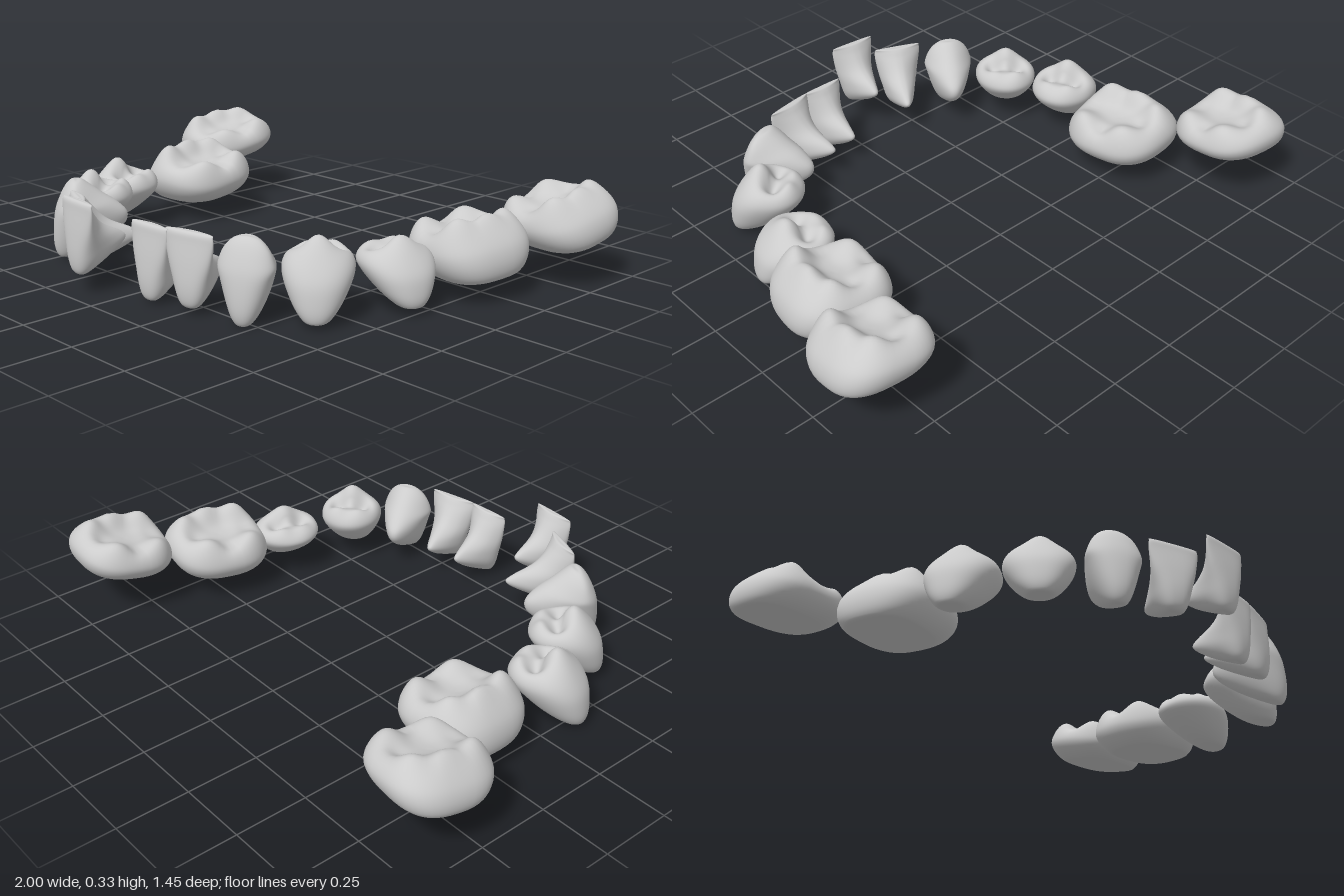
import * as THREE from 'three';
import { mergeVertices } from 'three/addons/utils/BufferGeometryUtils.js';

// Tooth kinds. rows run from the base to the centre of the biting surface:
// [height, half width, inner edge, outer edge], all relative to size [width, height, depth].
// bumps are cusps and pits: [across, outward, amount, radius].
const KINDS = {
  incisor: {
    size: [0.18, 0.25, 0.2], round: 0.78, taper: 0.72, lift: 0.3, peak: 0,
    rows: [[0, 0, 0.5, 0.5], [0, 0.26, 0, 0.75], [0.06, 0.45, -0.6, 0.9], [0.18, 0.61, -1, 0.98],
      [0.36, 0.73, -0.75, 1], [0.6, 0.88, -0.1, 0.95], [0.85, 0.99, 0.32, 0.86],
      [0.96, 0.98, 0.48, 0.82], [1, 0.88, 0.56, 0.74], [1, 0, 0.65, 0.65]],
    bumps: [],
  },
  canine: {
    size: [0.2, 0.27, 0.23], round: 0.9, taper: 0.5, lift: 0.3, peak: 0.2,
    rows: [[0, 0, 0.5, 0.5], [0, 0.24, 0.1, 0.78], [0.06, 0.44, -0.5, 0.92], [0.2, 0.64, -0.95, 1],
      [0.4, 0.83, -1, 1], [0.62, 0.98, -0.7, 0.93], [0.8, 0.98, -0.3, 0.78],
      [0.93, 0.8, 0, 0.62], [1, 0.45, 0.2, 0.46], [1, 0, 0.33, 0.33]],
    bumps: [],
  },
  premolar: {
    size: [0.24, 0.23, 0.24], round: 0.9, taper: 0.12, lift: 0.35, peak: 0, lean: 0.16,
    rows: [[0, 0, 0.5, 0.5], [0, 0.3, 0.15, 0.8], [0.08, 0.5, -0.2, 0.93], [0.25, 0.72, -0.55, 1],
      [0.5, 0.93, -0.88, 1], [0.7, 1, -1, 0.87], [0.86, 0.9, -0.9, 0.66],
      [0.94, 0.68, -0.68, 0.42], [0.92, 0.4, -0.45, 0.12], [0.89, 0.2, -0.3, 0], [0.88, 0, -0.15, -0.15]],
    bumps: [[0, 0.3, 0.2, 0.38], [-0.3, -0.6, 0.06, 0.3], [0.35, -0.58, 0.08, 0.3],
      [0.38, -0.15, -0.13, 0.24], [-0.38, -0.15, -0.13, 0.24]],
  },
  molar: {
    size: [0.36, 0.18, 0.34], round: 0.74, taper: 0.08, lift: 0.3, peak: 0, lean: 0.18,
    rows: [[0.02, 0, 0.15, 0.15], [0, 0.6, -0.55, 0.75], [0.08, 0.8, -0.78, 0.92], [0.3, 0.95, -0.95, 1],
      [0.55, 1, -1, 0.97], [0.78, 0.92, -0.92, 0.82], [0.91, 0.74, -0.75, 0.62],
      [0.88, 0.48, -0.5, 0.4], [0.82, 0.22, -0.24, 0.18], [0.8, 0, -0.03, -0.03]],
    bumps: [[-0.5, 0.48, 0.2, 0.27], [0.08, 0.52, 0.17, 0.24], [0.58, 0.35, 0.14, 0.24],
      [-0.45, -0.58, 0.17, 0.29], [0.42, -0.58, 0.17, 0.29], [0, -0.68, -0.07, 0.16],
      [-0.62, -0.05, -0.06, 0.22], [0.5, -0.08, -0.08, 0.2]],
  },
};

// name, kind, outward yaw in degrees, rise towards the back, then x, y and z ranges
const LEFT = [
  ['CentralIncisor', 'incisor', 2, 0, [0.02, 0.19], [0.01, 0.26], [0.42, 0.62]],
  ['LateralIncisor', 'incisor', 14, 0, [0.175, 0.36], [0.02, 0.265], [0.39, 0.6]],
  ['Canine', 'canine', 26, 0, [0.33, 0.53], [0, 0.27], [0.33, 0.56]],
  ['FirstPremolar', 'premolar', 42, 0, [0.44, 0.68], [0.015, 0.27], [0.18, 0.43]],
  ['SecondPremolar', 'premolar', 74, 0, [0.515, 0.78], [0.025, 0.235], [-0.075, 0.17]],
  ['FirstMolar', 'molar', 78, 0.08, [0.53, 0.89], [0.065, 0.275], [-0.41, -0.04]],
  ['SecondMolar', 'molar', 82, 0.22, [0.65, 1], [0.12, 0.33], [-0.73, -0.385]],
];
const RIGHT = [
  ['CentralIncisor', 'incisor', -6, 0, [-0.215, -0.04], [0.065, 0.31], [0.53, 0.725]],
  ['LateralIncisor', 'incisor', -26, 0, [-0.35, -0.16], [0.04, 0.28], [0.42, 0.64]],
  ['Canine', 'canine', -32, 0, [-0.52, -0.32], [0.015, 0.29], [0.34, 0.57]],
  ['FirstPremolar', 'premolar', -48, 0, [-0.68, -0.44], [0.03, 0.27], [0.18, 0.43]],
  ['SecondPremolar', 'premolar', -68, 0, [-0.815, -0.545], [0.01, 0.26], [-0.02, 0.22]],
  ['FirstMolar', 'molar', -84, 0.08, [-0.805, -0.45], [0.065, 0.275], [-0.42, -0.05]],
  ['SecondMolar', 'molar', -94, 0.18, [-1, -0.655], [0.14, 0.33], [-0.73, -0.385]],
];

const ROWS = 44, SEGS = 48;
const power = (x, e) => Math.sign(x) * Math.abs(x) ** e;

// Closed skin through stacked cross-sections, with cusps raised on its top
function crown(kind, side) {
  const [w, height, d] = kind.size;
  const last = kind.rows.length - 1;
  const spline = new THREE.CubicInterpolant(kind.rows.map((_, i) => i), kind.rows.flat(), 4);
  const points = [], index = [];
  for (let i = 0; i <= ROWS; i++) {
    const [h, half, inner, outer] = spline.evaluate((i / ROWS) * last);
    const onTop = THREE.MathUtils.smoothstep(h, 0.5, 0.88);
    for (let j = 0; j < SEGS; j++) {
      const a = (j / SEGS) * Math.PI * 2;
      const c = power(Math.cos(a), kind.round), s = power(Math.sin(a), kind.round);
      const u = half * c * (1 - kind.taper * (1 - s) / 2);
      const v = (inner + outer) / 2 + s * (outer - inner) / 2;
      let y = h + kind.lift * (1 - h) * (1 - v) / 2 - kind.peak * onTop * u * u;
      for (const [bu, bv, amount, r] of kind.bumps) {
        const dist = (u * side - bu) ** 2 + (v - bv) ** 2;
        y += onTop * amount * Math.exp(-dist / (r * r));
      }
      points.push(u * w / 2, y * height, v * d / 2);
      if (i < ROWS) {
        const p = i * SEGS + j, q = i * SEGS + (j + 1) % SEGS;
        index.push(p, p + SEGS, q, q, p + SEGS, q + SEGS);
      }
    }
  }
  const geometry = new THREE.BufferGeometry();
  geometry.setAttribute('position', new THREE.Float32BufferAttribute(points, 3));
  geometry.setIndex(index);
  return mergeVertices(geometry, 1e-5);
}

// Scale and move a geometry into the given x, y and z ranges
function fit(geometry, ranges) {
  geometry.computeBoundingBox();
  const { min, max } = geometry.boundingBox;
  const lo = min.toArray(), hi = max.toArray();
  const scale = ranges.map(([a, b], k) => (b - a) / (hi[k] - lo[k]));
  geometry.translate(-lo[0], -lo[1], -lo[2]);
  geometry.scale(...scale);
  geometry.translate(ranges[0][0], ranges[1][0], ranges[2][0]);
}

export function createModel() {
  const arch = new THREE.Group();
  arch.name = 'lowerToothArch';
  const material = new THREE.MeshStandardMaterial({ color: 0xcccccc });
  for (const [prefix, side, teeth] of [['left', 1, LEFT], ['right', -1, RIGHT]]) {
    const row = new THREE.Group();
    row.name = prefix + 'Teeth';
    for (const [name, type, yaw, rise, ...ranges] of teeth) {
      const kind = KINDS[type];
      const geometry = crown(kind, side);
      geometry.rotateZ(side * rise);
      geometry.rotateX(-(kind.lean ?? 0));
      geometry.rotateY(THREE.MathUtils.degToRad(yaw));
      fit(geometry, ranges);
      geometry.computeVertexNormals();
      const tooth = new THREE.Mesh(geometry, material);
      tooth.name = prefix + name;
      row.add(tooth);
    }
    arch.add(row);
  }
  return arch;
}
